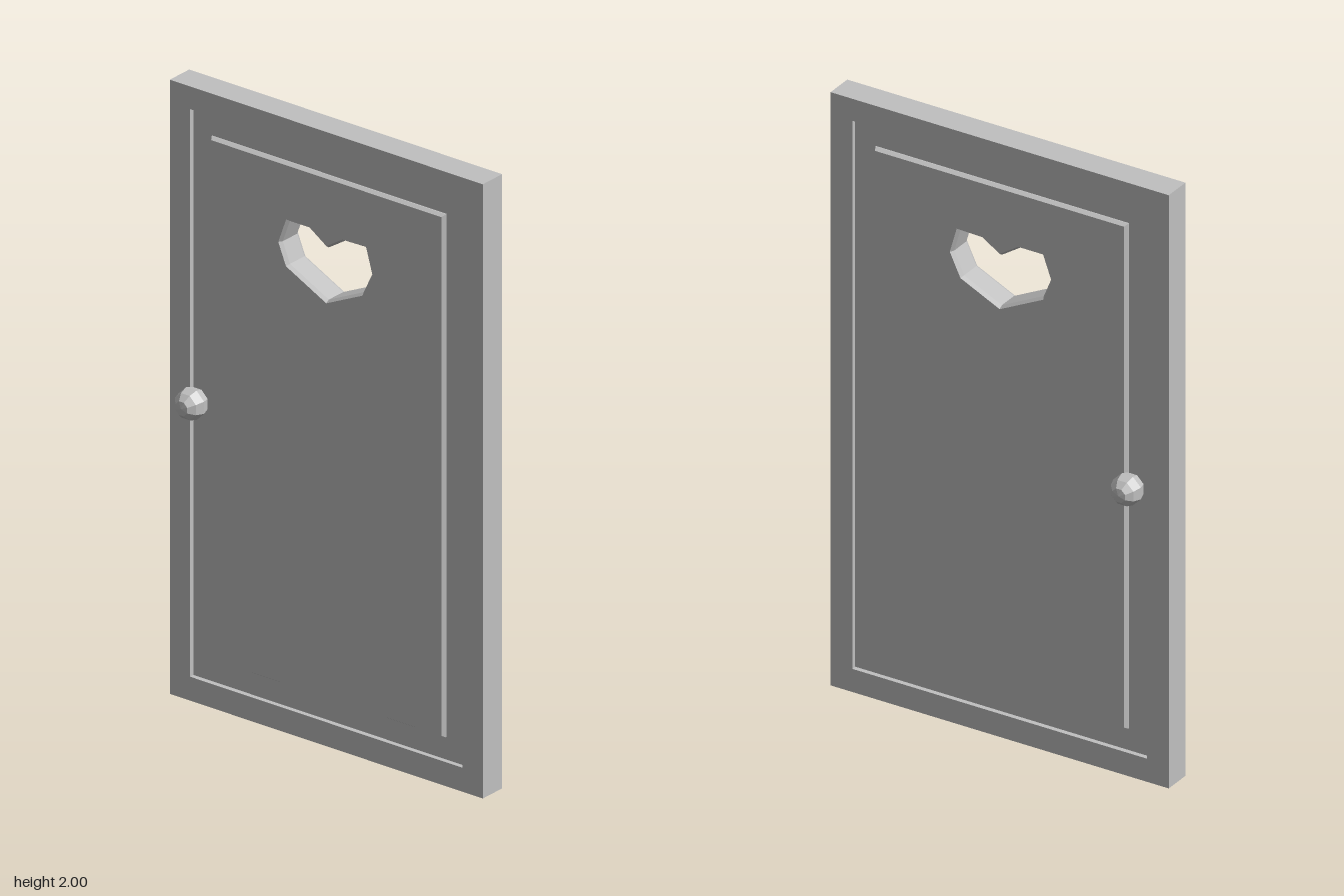
import * as THREE from 'three';

const grey = new THREE.MeshStandardMaterial({ color: 0xc0c0c0, flatShading: true });
grey.name = 'plain grey';

const HALF = 0.046; // half the door thickness

const rectPoints = (hw, y0, y1) => [[-hw, y0], [hw, y0], [hw, y1], [-hw, y1]];
const toVectors = (pts) => pts.map(([x, y]) => new THREE.Vector2(x, y));

// Plate centred on z = 0 with one opening and an optional chamfer
function plate(name, outline, opening, half, chamfer = 0) {
  const shape = new THREE.Shape(toVectors(outline));
  shape.holes.push(new THREE.Path(toVectors(opening)));
  const geometry = new THREE.ExtrudeGeometry(shape, {
    depth: 2 * (half - chamfer),
    bevelEnabled: chamfer > 0,
    bevelSize: chamfer * 0.6,
    bevelOffset: -chamfer * 0.6,
    bevelThickness: chamfer,
    bevelSegments: 1,
  });
  geometry.translate(0, 0, -(half - chamfer));
  const mesh = new THREE.Mesh(geometry, grey);
  mesh.name = name;
  return mesh;
}

export function createModel() {
  const door = new THREE.Group();
  door.name = 'door';

  const outer = rectPoints(0.592, 0, 2);
  const frameInner = rectPoints(0.516, 0.078, 1.926);
  const panelEdge = rectPoints(0.443, 0.152, 1.855);
  const heart = [
    [0, 1.45], [0.132, 1.512], [0.167, 1.585], [0.145, 1.662], [0.063, 1.66],
    [0, 1.62], [-0.066, 1.664], [-0.147, 1.664], [-0.174, 1.59], [-0.147, 1.524],
  ];

  // Raised border, sunken groove and raised panel with a heart-shaped opening
  door.add(plate('frame', outer, frameInner, HALF));
  door.add(plate('groove', frameInner, panelEdge, HALF - 0.016));
  door.add(plate('panel', panelEdge, heart, HALF, 0.012));

  // Faceted round knob on each side
  const profile = [[0, -0.05], [0.022, -0.047], [0.043, -0.028], [0.052, 0], [0.043, 0.028], [0.024, 0.047], [0, 0.05]];
  const knobGeometry = new THREE.LatheGeometry(toVectors(profile), 8, Math.PI / 8);
  knobGeometry.rotateX(Math.PI / 2);
  for (const side of [1, -1]) {
    const knob = new THREE.Mesh(knobGeometry, grey);
    knob.name = side > 0 ? 'frontKnob' : 'backKnob';
    knob.position.set(-0.475, 0.995, side * 0.091);
    if (side < 0) knob.rotation.x = Math.PI;
    door.add(knob);
  }
  return door;
}
